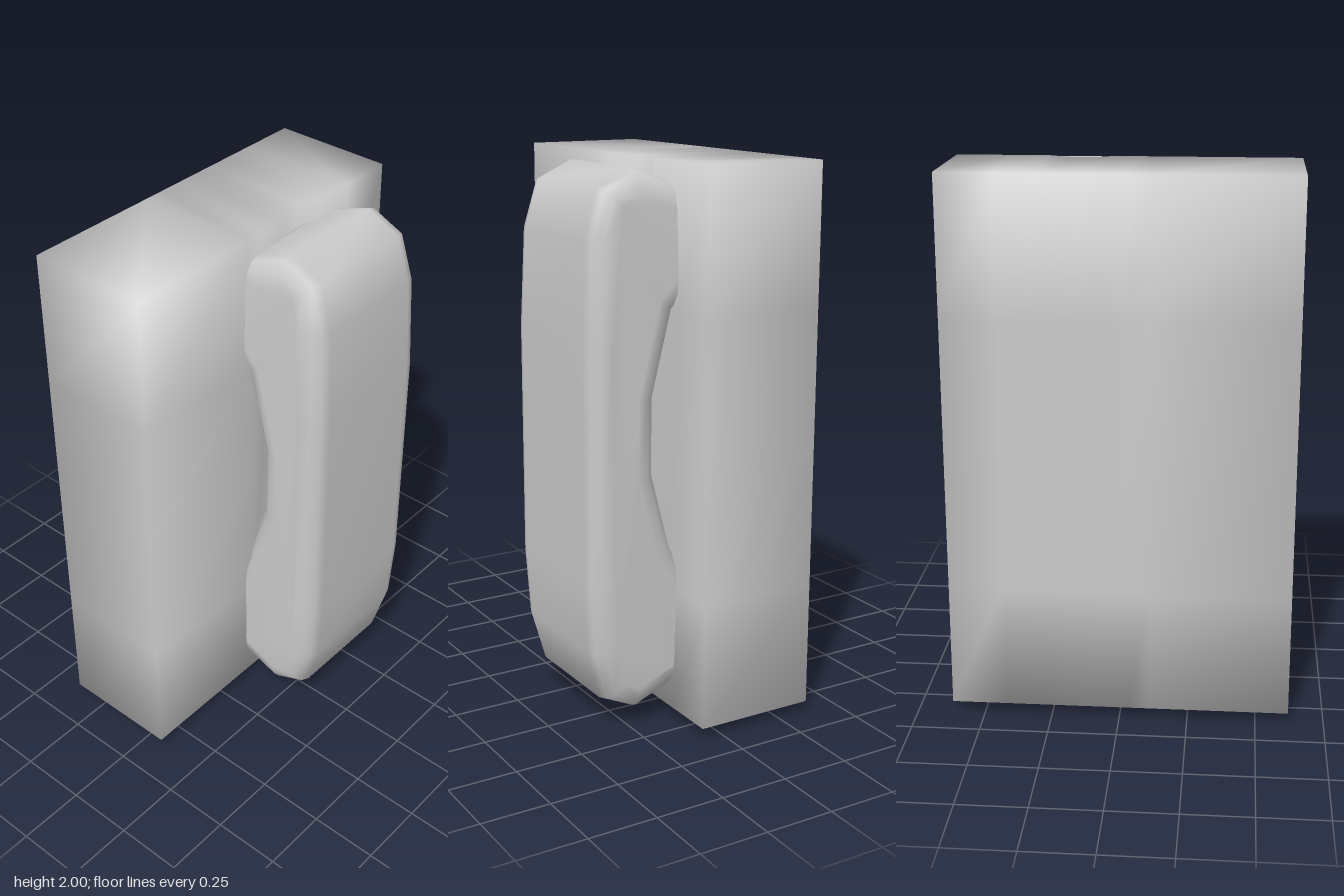
import * as THREE from 'three';
import { mergeVertices } from 'three/addons/utils/BufferGeometryUtils.js';

// Weld all corners so that shading runs smoothly over the edges
function weld(geometry) {
  geometry.deleteAttribute('uv');
  geometry.deleteAttribute('normal');
  const welded = mergeVertices(geometry, 1e-4);
  welded.computeVertexNormals();
  return welded;
}

function moveVertices(geometry, rule) {
  const p = geometry.attributes.position;
  for (let i = 0; i < p.count; i++) p.setXYZ(i, ...rule(p.getX(i), p.getY(i), p.getZ(i)));
  return geometry;
}

// Slab on an uneven grid, with a shallow ridge and notched ends
function plateGeometry() {
  const xs = [-0.62, -0.11, -0.03, 0.05, 0.12, 0.2, 0.28, 0.42, 0.62];
  const ys = [0.04, 0.5, 1.03, 1.5, 2];
  const bulge = [0, 0.5, 1, 0.5, 0];
  const box = new THREE.BoxGeometry(1, 1, 1, xs.length - 1, ys.length - 1, 1);
  return weld(moveVertices(box, (x, y, z) => {
    const i = Math.round((x + 0.5) * (xs.length - 1));
    const j = Math.round((y + 0.5) * (ys.length - 1));
    const front = z > 0;
    let py = ys[j];
    let pz = front ? 0.08 : -0.37;
    // ridge down the slab, highest halfway up
    if (i === 1) pz += (front ? 0.03 : -0.045) * bulge[j];
    // dip in the front edge behind the handle, with a lip underneath
    const notch = front && (i === 4 || i === 5);
    if (notch && (j === 0 || j === ys.length - 1)) pz = 0.04;
    if (notch && j === 0) py = 0;
    return [xs[i], py, pz];
  }));
}

// C-shaped side profile (z, y) extruded across x with rounded sides
function handleGeometry() {
  const profile = [
    [-0.03, 0.17], [0.08, 0.12], [0.22, 0.06], [0.35, 0.12], [0.4, 0.3], [0.415, 0.55],
    [0.415, 1.4], [0.4, 1.75], [0.35, 1.92], [0.22, 1.98], [0.08, 1.93], [-0.03, 1.88],
    [-0.03, 1.6], [0.08, 1.5], [0.155, 1.2], [0.155, 0.93], [0.08, 0.65], [-0.03, 0.5],
  ];
  const shape = new THREE.Shape(profile.map(([z, y]) => new THREE.Vector2(z, y)));
  const bar = new THREE.ExtrudeGeometry(shape, {
    depth: 0.44, bevelEnabled: true, bevelThickness: 0.07,
    bevelSize: 0.08, bevelOffset: -0.08, bevelSegments: 3,
  });
  bar.rotateY(-Math.PI / 2).translate(0.37, 0, 0);
  // narrow slightly towards both ends
  return weld(moveVertices(bar, (x, y, z) => {
    const t = THREE.MathUtils.clamp((Math.abs(y - 1.02) - 0.55) / 0.4, 0, 1);
    return [0.15 + (x - 0.15) * (1 - 0.07 * t), y, z];
  }));
}

export function createModel() {
  const group = new THREE.Group();
  const material = new THREE.MeshStandardMaterial({ color: 0xcccccc });
  const parts = { backPlate: plateGeometry(), pullHandle: handleGeometry() };
  for (const [name, geometry] of Object.entries(parts)) {
    const mesh = new THREE.Mesh(geometry, material);
    mesh.name = name;
    group.add(mesh);
  }
  return group;
}
